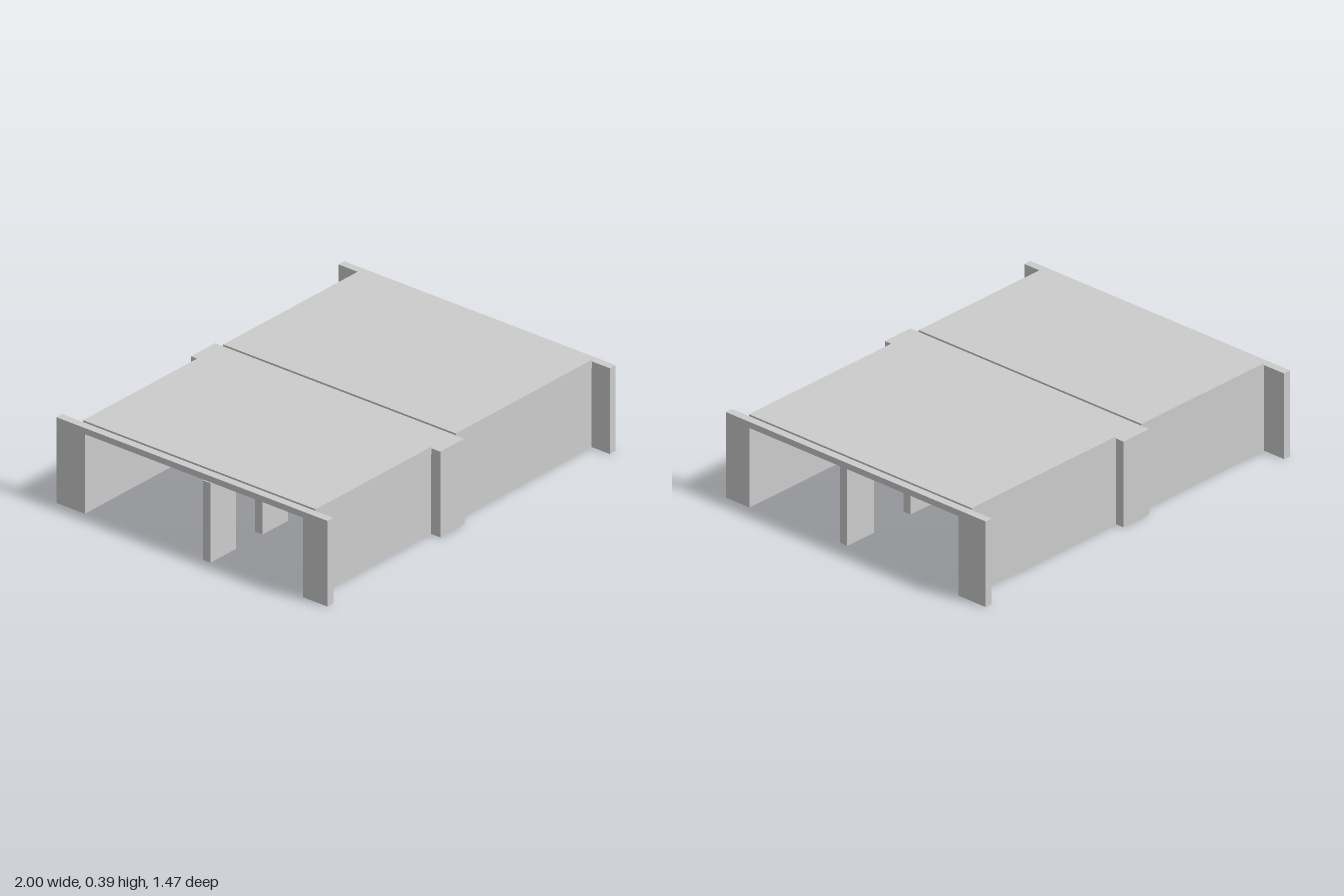
import * as THREE from 'three';

const SKEW = 0.0785; // the plan is a slight parallelogram: x shifts with z

export function createModel() {
  const group = new THREE.Group();
  const material = new THREE.MeshStandardMaterial({ color: 0xcccccc, flatShading: true });

  // Box between the given limits, skewed in plan
  function block(name, x0, x1, y0, y1, z0, z1) {
    const geo = new THREE.BoxGeometry(x1 - x0, y1 - y0, z1 - z0);
    geo.translate((x0 + x1) / 2, (y0 + y1) / 2, (z0 + z1) / 2);
    const p = geo.attributes.position;
    for (let i = 0; i < p.count; i++) p.setX(i, p.getX(i) - SKEW * p.getZ(i));
    geo.computeVertexNormals();
    const mesh = new THREE.Mesh(geo, material);
    mesh.name = name;
    group.add(mesh);
  }

  const under = 0.352, beamTop = 0.379, roofTop = 0.387;
  const end = 0.942, inner = 0.904;        // end frames
  const bandL = -0.146, bandR = 0.012;     // middle band
  const frontIn = 0.6, backIn = -0.58;     // inner wall faces

  // Roof slabs on either side of the middle band
  block('roofRight', -inner, bandL, under, roofTop, -0.62, 0.638);
  block('roofLeft', bandR, inner, under, roofTop, -0.62, 0.638);

  // Long walls, split by the middle pilasters
  for (const [x0, x1] of [[-inner, bandL], [bandR, inner]]) {
    block('frontWall', x0, x1, 0, under, frontIn, 0.635);
    block('backWall', x0, x1, 0, under, -0.62, backIn);
  }

  // End frames and the middle band: a beam over a front and a back post
  const frames = [
    ['rightEnd', -end, -inner, 0.734, -0.734],
    ['leftEnd', inner, end, 0.734, -0.734],
    ['middle', bandL, bandR, 0.685, -0.664],
  ];
  for (const [name, x0, x1, zf, zb] of frames) {
    block(name + 'Beam', x0, x1, under, beamTop, zb, zf);
    block(name + 'FrontPost', x0, x1, 0, under, frontIn, zf);
    block(name + 'BackPost', x0, x1, 0, under, zb, backIn);
  }

  // Row of inner piers
  for (const x of [-0.865, -0.525, -0.196, 0.057, 0.449, 0.84]) {
    block('pier', x - 0.083, x + 0.083, 0, under, 0.065, 0.105);
  }
  return group;
}
